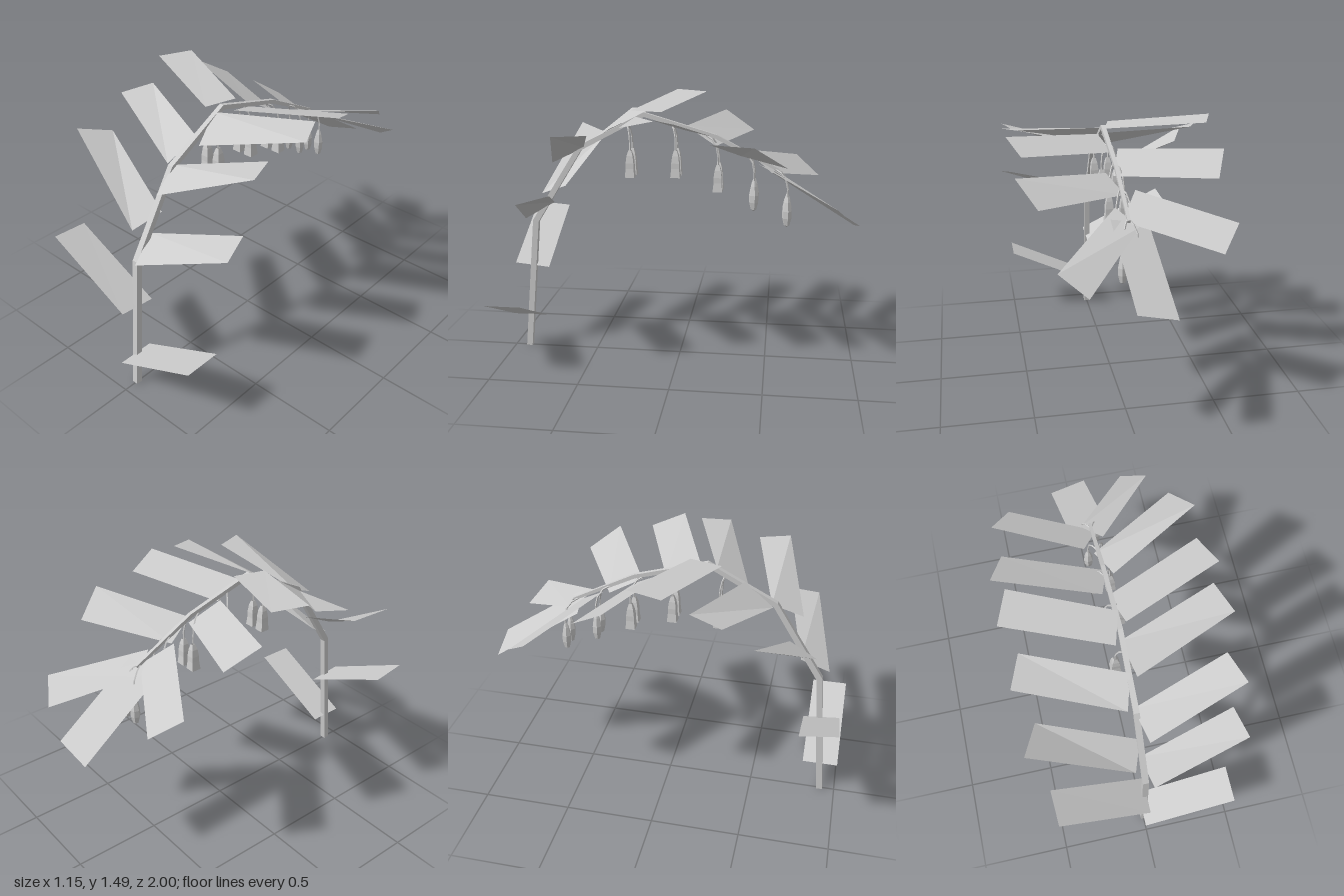
import * as THREE from 'three';

const mat = new THREE.MeshStandardMaterial({ color: 0xcccccc, flatShading: true, side: THREE.DoubleSide });
const v = (x, y, z) => new THREE.Vector3(x, y, z);

function add(parent, geometry, name) {
  const mesh = new THREE.Mesh(geometry, mat);
  mesh.name = name;
  parent.add(mesh);
  return mesh;
}

// Four-sided tapering stem made of square rings along a path in the x = 0 plane.
function stemGeometry(path) {
  const pos = [], index = [];
  path.forEach(([z, y, r], i) => {
    const a = path[Math.max(i - 1, 0)], b = path[Math.min(i + 1, path.length - 1)];
    const dir = v(0, b[1] - a[1], b[0] - a[0]).normalize();
    const side = v(0, -dir.z, dir.y);
    for (const [sx, sn] of [[1, 1], [-1, 1], [-1, -1], [1, -1]])
      pos.push(sx * r, y + side.y * sn * r, z + side.z * sn * r);
    if (i > 0) for (let k = 0; k < 4; k++) {
      const p = (i - 1) * 4 + k, q = (i - 1) * 4 + (k + 1) % 4;
      index.push(p, q, q + 4, p, q + 4, p + 4);
    }
  });
  const e = (path.length - 1) * 4;
  index.push(0, 2, 1, 0, 3, 2, e, e + 1, e + 2, e, e + 2, e + 3);
  const g = new THREE.BufferGeometry();
  g.setAttribute('position', new THREE.Float32BufferAttribute(pos, 3));
  g.setIndex(index);
  g.computeVertexNormals();
  return g;
}

// Flat blade folded along one diagonal: base front, tip front, tip back, base back.
function leafGeometry(corners, leftFold) {
  const g = new THREE.BufferGeometry();
  g.setAttribute('position', new THREE.Float32BufferAttribute(corners.flat(), 3));
  g.setIndex(leftFold ? [0, 2, 1, 0, 3, 2] : [0, 1, 3, 1, 2, 3]);
  g.computeVertexNormals();
  return g;
}

export function createModel() {
  const plant = new THREE.Group();
  plant.name = 'archingPlant';

  add(plant, stemGeometry([
    [0.915, 0, 0.017], [0.84, 0.78, 0.017], [0.57, 1.21, 0.015],
    [0.2, 1.405, 0.013], [-0.2, 1.29, 0.011], [-0.55, 1.11, 0.008],
  ]), 'stem');

  // Leaves on the +x side, from the ground up, ending with the splayed one
  const leftLeaves = [
    [[-0.01, 0.19, 1], [0.5, 0.43, 1], [0.5, 0.43, 0.8], [-0.01, 0.19, 0.8]],
    [[0.04, 0.80, 0.89], [0.56, 1.01, 0.775], [0.51, 1.05, 0.61], [-0.01, 0.89, 0.73]],
    [[0.04, 1.13, 0.72], [0.55, 1.36, 0.58], [0.49, 1.36, 0.41], [-0.01, 1.21, 0.55]],
    [[0.04, 1.28, 0.415], [0.57, 1.415, 0.23], [0.50, 1.44, 0.07], [-0.01, 1.39, 0.25]],
    [[0.04, 1.38, 0.155], [0.56, 1.435, -0.04], [0.495, 1.37, -0.22], [-0.01, 1.32, -0.025]],
    [[0.05, 1.25, -0.17], [0.545, 1.325, -0.43], [0.45, 1.21, -0.595], [-0.02, 1.18, -0.34]],
    [[0.05, 1.15, -0.44], [0.395, 0.99, -0.855], [0.26, 0.89, -0.94], [-0.05, 1.08, -0.56]],
  ];
  // Leaves on the -x side
  const rightLeaves = [
    [[0.01, 0.52, 0.975], [-0.495, 0.77, 0.975], [-0.505, 0.75, 0.775], [0.01, 0.50, 0.775]],
    [[-0.05, 0.93, 0.815], [-0.58, 1.27, 0.69], [-0.5, 1.22, 0.52], [0.005, 0.99, 0.66]],
    [[-0.04, 1.21, 0.56], [-0.58, 1.365, 0.375], [-0.51, 1.385, 0.205], [0.005, 1.32, 0.4]],
    [[-0.04, 1.42, 0.28], [-0.58, 1.485, 0.085], [-0.51, 1.48, -0.1], [0.01, 1.42, 0.105]],
    [[-0.04, 1.34, -0.03], [-0.58, 1.365, -0.215], [-0.505, 1.255, -0.39], [0.015, 1.24, -0.2]],
    [[-0.07, 1.21, -0.36], [-0.535, 1.105, -0.65], [-0.425, 1.0, -0.785], [0.025, 1.1, -0.51]],
  ];
  leftLeaves.forEach((c, i) => add(plant, leafGeometry(c, false), `leftLeaf${i + 1}`));
  rightLeaves.forEach((c, i) => add(plant, leafGeometry(c, true), `rightLeaf${i + 1}`));
  add(plant, leafGeometry([
    [-0.11, 1.08, -0.5], [-0.155, 0.77, -0.985], [0.05, 0.82, -1], [0.09, 1.12, -0.53],
  ], true), 'endLeaf');

  // Profiles as [radius, drop below the stalk]
  const bell = [[0.012, 0], [0.024, -0.03], [0.031, -0.07], [0.031, -0.1], [0.038, -0.15]];
  const bud = [[0.006, 0], [0.017, -0.03], [0.027, -0.08], [0.026, -0.12], [0.016, -0.16], [0.001, -0.17]];
  // Pairs of flowers: stalk root z, y then flower z, top y
  const flowers = [
    [0.3, 1.355, 0.275, 1.21, bell, 4],
    [0.05, 1.36, 0.02, 1.215, bell, 4],
    [-0.14, 1.3, -0.215, 1.14, bell, 4],
    [-0.33, 1.22, -0.415, 1.055, bud, 6],
    [-0.52, 1.12, -0.6, 0.97, bud, 6],
  ];
  flowers.forEach(([z0, y0, z1, y1, profile, sides], i) => {
    for (const s of [1, -1]) {
      const flower = new THREE.Group();
      flower.name = `${s > 0 ? 'left' : 'right'}Flower${i + 1}`;
      const x = s * 0.04;
      const path = new THREE.CatmullRomCurve3([
        v(0, y0, z0), v(x * 0.7, y0 - 0.035, z1 + (z0 - z1) * 0.3), v(x, y1 + 0.05, z1), v(x, y1 - 0.01, z1),
      ]);
      add(flower, new THREE.TubeGeometry(path, 4, 0.005, 4), 'stalk');
      const points = profile.map(([r, y]) => new THREE.Vector2(r, y)).reverse();
      // Turn the four-sided bells so that their faces look along the axes
      const cup = add(flower, new THREE.LatheGeometry(points, sides, Math.PI / 4), sides === 4 ? 'bell' : 'bud');
      cup.position.set(x, y1, z1);
      plant.add(flower);
    }
  });

  return plant;
}
